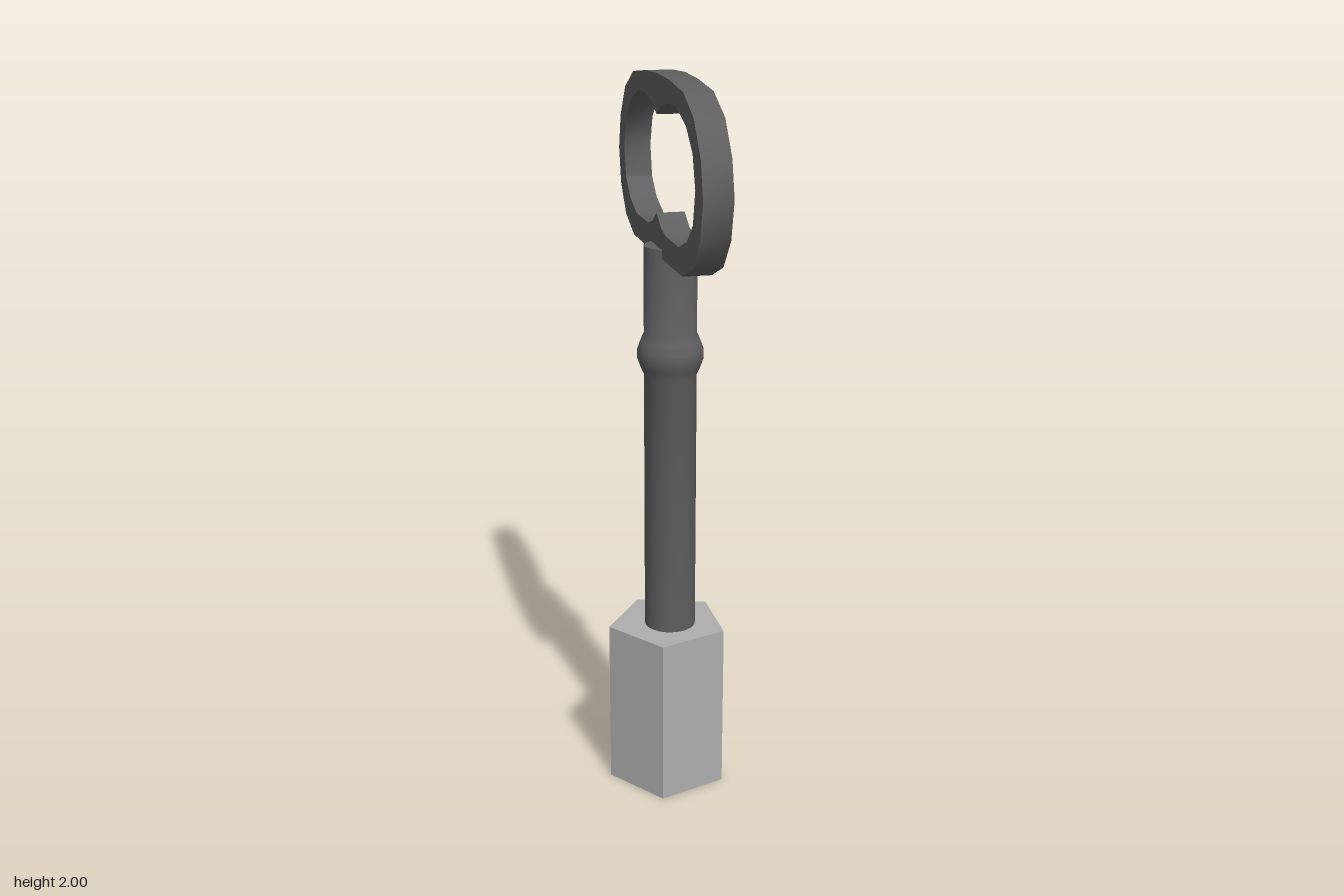
import * as THREE from 'three';
import { toCreasedNormals } from 'three/addons/utils/BufferGeometryUtils.js';

const AXIS_X = 0.02;

function add(group, name, geometry, color) {
  const mesh = new THREE.Mesh(geometry, new THREE.MeshStandardMaterial({ color }));
  mesh.name = name;
  group.add(mesh);
  return mesh;
}

// Closed clockwise outline from its right half, mirrored about the vertical axis
function mirrored(half) {
  const points = half.map(([x, y]) => new THREE.Vector2(x, y));
  const other = points.filter((p) => p.x > 0).reverse().map((p) => new THREE.Vector2(-p.x, p.y));
  return [...points, ...other];
}

export function createModel() {
  const group = new THREE.Group();
  const dark = 0x5f5f5f;

  // Five-sided block at the foot, one corner pointing to -x
  const block = new THREE.CylinderGeometry(0.17, 0.17, 0.476, 5);
  block.rotateY(-Math.PI / 2);
  add(group, 'pentagonBlock', toCreasedNormals(block, 0.5), 0xaeaeae)
    .position.set(0.015, 0.238, -0.005);

  // Round shaft with a swollen collar
  const profile = [
    [0, 0.47], [0.071, 0.47], [0.071, 1.21], [0.08, 1.23], [0.089, 1.255], [0.089, 1.28],
    [0.08, 1.305], [0.071, 1.325], [0.071, 1.56], [0, 1.56],
  ].map(([r, y]) => new THREE.Vector2(r, y));
  const shaft = toCreasedNormals(new THREE.LatheGeometry(profile, 32), 0.7);
  add(group, 'shaft', shaft, dark).position.x = AXIS_X;

  // Flat oval bow with a cusped opening, the opening wound the other way
  const bow = new THREE.Shape(mirrored([
    [0, 2], [0.13, 1.995], [0.275, 1.98], [0.38, 1.93], [0.445, 1.845],
    [0.469, 1.753], [0.445, 1.654], [0.38, 1.578], [0.275, 1.537],
  ]));
  bow.holes.push(new THREE.Path(mirrored([
    [0, 1.897], [0.055, 1.925], [0.13, 1.938], [0.21, 1.938], [0.307, 1.903], [0.37, 1.848], [0.397, 1.767],
    [0.377, 1.682], [0.32, 1.632], [0.24, 1.603], [0.1, 1.603], [0.05, 1.616], [0, 1.646],
  ]).reverse()));
  const depth = 0.075;
  const bowGeometry = new THREE.ExtrudeGeometry(bow, { depth, bevelEnabled: false });
  bowGeometry.translate(0, 0, -depth / 2).rotateY(-Math.PI / 2);
  add(group, 'bow', toCreasedNormals(bowGeometry, 0.6), dark).position.x = AXIS_X;

  return group;
}
